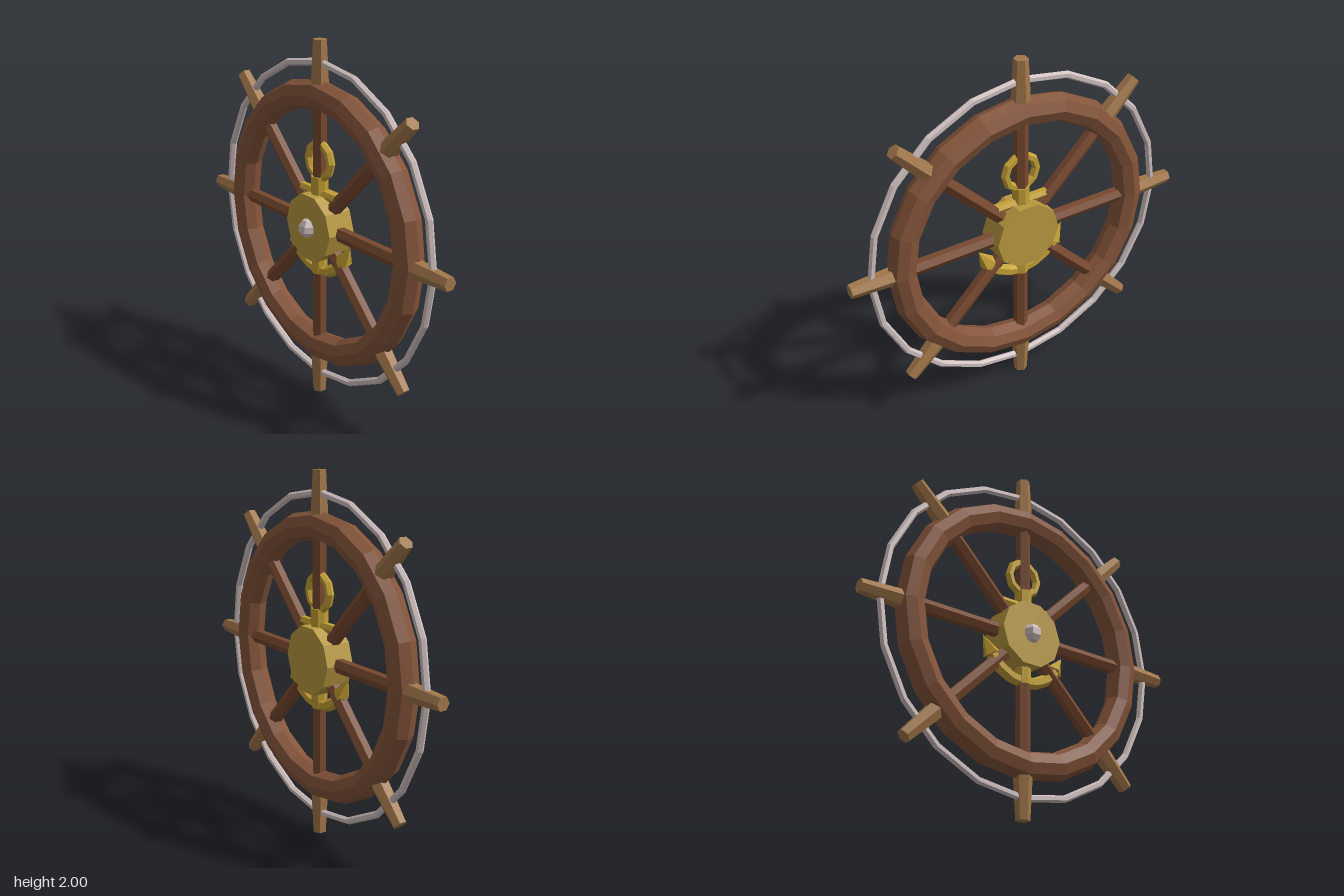
import * as THREE from 'three';

export function createModel() {
  const model = new THREE.Group();
  model.name = 'shipWheel';

  const paint = (name, color) => {
    const m = new THREE.MeshStandardMaterial({ color, flatShading: true });
    m.name = name;
    return m;
  };
  const rimWood = paint('rim wood', 0x84543a);
  const spokeWood = paint('spoke wood', 0x78492f);
  const handleWood = paint('handle wood', 0xa2774a);
  const silver = paint('pale silver', 0xd0c0c0);
  const brass = paint('hub brass', 0xb8983f);
  const gold = paint('anchor gold', 0xc4a034);

  const add = (parent, name, geometry, material, x = 0, y = 0, z = 0) => {
    const mesh = new THREE.Mesh(geometry, material);
    mesh.name = name;
    mesh.position.set(x, y, z);
    parent.add(mesh);
    return mesh;
  };

  // Everything turns about the wheel axis
  const wheel = new THREE.Group();
  wheel.name = 'wheel';
  wheel.position.set(0, 1, -0.017);
  model.add(wheel);

  // Wooden rim and thin outer hoop
  add(wheel, 'rim', new THREE.TorusGeometry(0.715, 0.078, 8, 20), rimWood);
  add(wheel, 'outerHoop', new THREE.TorusGeometry(0.885, 0.02, 6, 20), silver);

  // Eight spokes with tapered handles
  const spokeGeo = new THREE.CylinderGeometry(0.04, 0.04, 0.63, 6);
  const handleGeo = new THREE.CylinderGeometry(0.038, 0.054, 0.29, 6);
  for (let i = 0; i < 8; i++) {
    const arm = new THREE.Group();
    arm.name = 'spokeArm' + (i + 1);
    arm.rotation.z = (i * Math.PI) / 4;
    wheel.add(arm);
    add(arm, 'spoke', spokeGeo, spokeWood, 0, 0.365);
    add(arm, 'handle', handleGeo, handleWood, 0, 0.855);
  }

  // Ten-sided hub and its cap
  const hubGeo = new THREE.CylinderGeometry(0.19, 0.19, 0.162, 10, 1, false, Math.PI / 2);
  add(wheel, 'hub', hubGeo.rotateX(Math.PI / 2), brass);
  add(wheel, 'hubCap', new THREE.SphereGeometry(0.056, 6, 5), silver, 0, 0, 0.075);

  // Anchor set into the hub
  const anchor = new THREE.Group();
  anchor.name = 'anchor';
  wheel.add(anchor);
  add(anchor, 'anchorRing', new THREE.TorusGeometry(0.094, 0.024, 6, 10), gold, 0, 0.362);
  add(anchor, 'anchorShank', new THREE.CylinderGeometry(0.048, 0.043, 0.55, 8), gold, 0, 0.002);
  const stock = add(anchor, 'anchorStock', new THREE.CylinderGeometry(0.027, 0.027, 0.32, 6), gold, 0, 0.182);
  stock.rotation.z = Math.PI / 2;

  // Curved arms ending in flukes
  const sweep = Math.PI * 0.6;
  const arc = add(anchor, 'anchorArms', new THREE.TorusGeometry(0.257, 0.034, 6, 6, sweep), gold);
  arc.rotation.z = -Math.PI / 2 - sweep / 2;
  for (const s of [-1, 1]) {
    const fluke = add(anchor, s > 0 ? 'leftFluke' : 'rightFluke',
      new THREE.ConeGeometry(0.048, 0.11, 5), gold, s * 0.235, -0.098);
    fluke.rotation.z = -s * 0.55;
  }

  return model;
}
